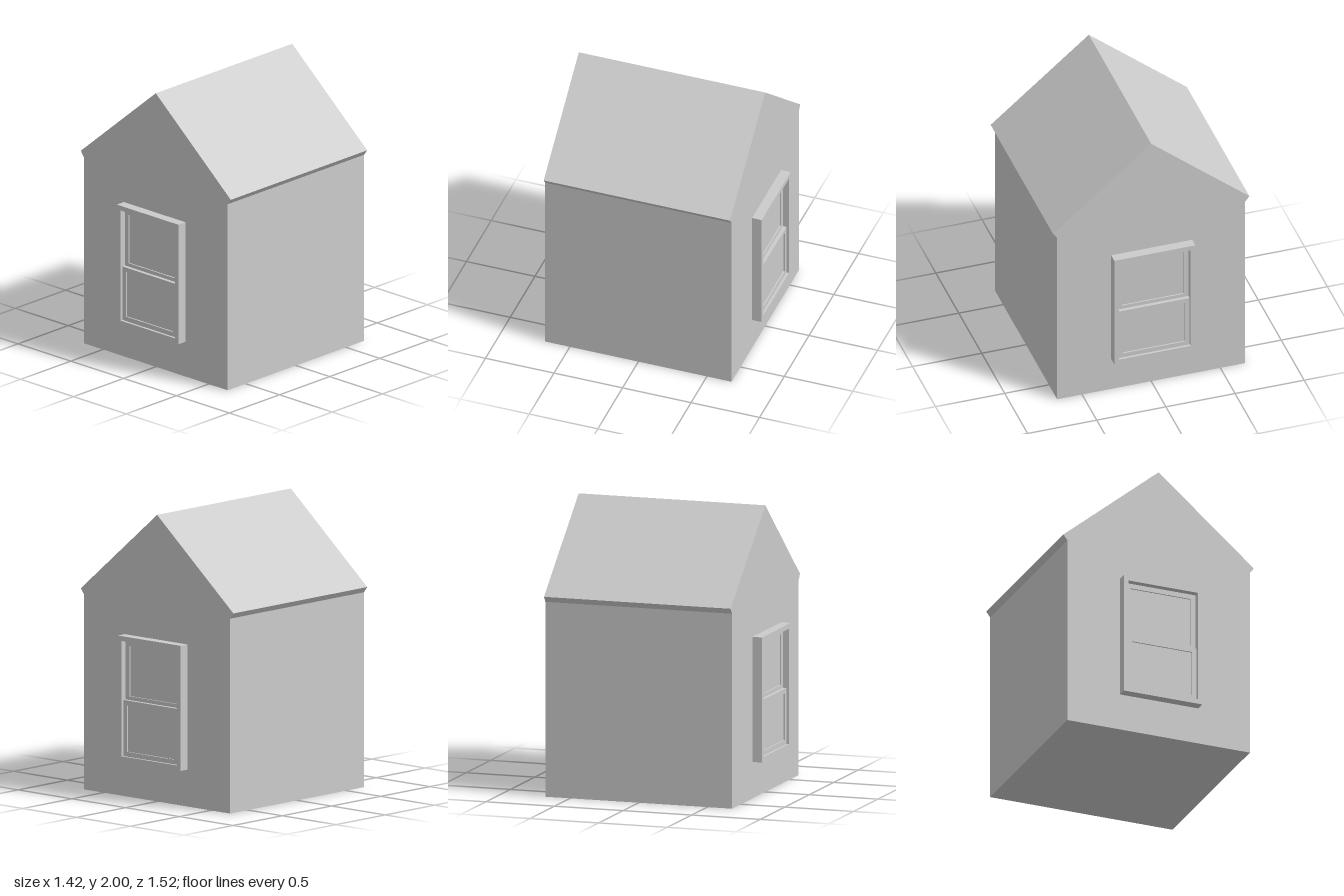
import * as THREE from 'three';

const material = new THREE.MeshStandardMaterial({ color: 0xcccccc, flatShading: true });

function extrude(name, shape, z0, z1) {
  const geometry = new THREE.ExtrudeGeometry(shape, { depth: z1 - z0, bevelEnabled: false });
  geometry.translate(0, 0, z0);
  const mesh = new THREE.Mesh(geometry, material);
  mesh.name = name;
  return mesh;
}

function rectangle(halfWidth, y0, y1) {
  return [[-halfWidth, y0], [halfWidth, y0], [halfWidth, y1], [-halfWidth, y1]]
    .map(([x, y]) => new THREE.Vector2(x, y));
}

// Rectangular border with an opening
function border(name, halfWidth, y0, y1, rail, z0, z1) {
  const shape = new THREE.Shape(rectangle(halfWidth, y0, y1));
  shape.holes.push(new THREE.Path(rectangle(halfWidth - rail, y0 + rail, y1 - rail).reverse()));
  return extrude(name, shape, z0, z1);
}

// Sash window: outer frame, recessed upper sash, forward lower sash
function createWindow(name) {
  const group = new THREE.Group();
  group.name = name;
  group.add(border('windowFrame', 0.293, 0.26, 1.133, 0.034, 0.69, 0.76));
  const sashes = [
    ['upper', 0.26, 0.675, 1.1, 0.69, 0.716],
    ['lower', 0.257, 0.294, 0.685, 0.716, 0.742],
  ];
  for (const [label, halfWidth, y0, y1, z0, z1] of sashes) {
    const rail = halfWidth - 0.224;
    group.add(border(label + 'Sash', halfWidth, y0, y1, rail, z0, z1));
    const pane = new THREE.Shape(rectangle(0.224, y0 + rail, y1 - rail));
    const middle = (z0 + z1) / 2;
    group.add(extrude(label + 'Pane', pane, middle - 0.003, middle + 0.003));
  }
  return group;
}

export function createModel() {
  const model = new THREE.Group();
  model.name = 'house';

  // Walls and gable roof with small slanted eaves
  const profile = [[-0.68, 0], [0.68, 0], [0.68, 1.36], [0.71, 1.4], [0, 2], [-0.71, 1.4], [-0.68, 1.36]];
  const gable = new THREE.Shape(profile.map(([x, y]) => new THREE.Vector2(x, y)));
  model.add(extrude('houseBody', gable, -0.68, 0.68));

  // One window on each gable end
  const backWindow = createWindow('backWindow');
  backWindow.rotation.y = Math.PI;
  model.add(createWindow('frontWindow'), backWindow);
  return model;
}
